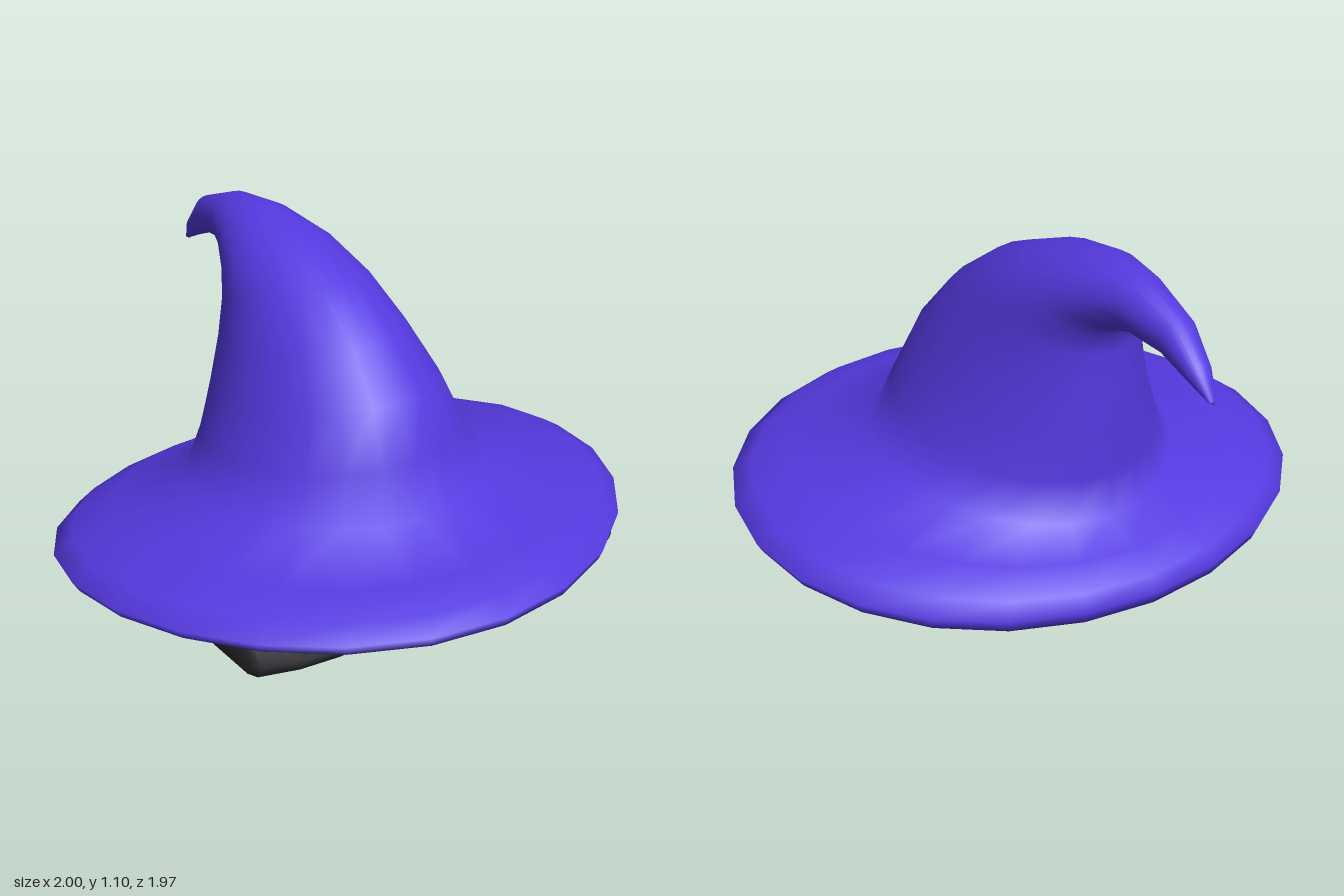
import * as THREE from 'three';

// Smooth closed skin through a list of rings, with a fan cap at each end
function loft(rings, startCap, endCap) {
  const n = rings[0].length, pos = [], idx = [];
  rings.forEach(r => r.forEach(p => pos.push(...p)));
  const s = rings.length * n, e = s + 1;
  pos.push(...startCap, ...endCap);
  for (let j = 0; j < n; j++) {
    const k = (j + 1) % n;
    idx.push(s, k, j);
    for (let i = 0; i < rings.length - 1; i++) {
      const a = i * n + j, b = i * n + k;
      idx.push(a, b, b + n, a, b + n, a + n);
    }
    const last = (rings.length - 1) * n;
    idx.push(last + j, last + k, e);
  }
  const g = new THREE.BufferGeometry();
  g.setAttribute('position', new THREE.Float32BufferAttribute(pos, 3));
  g.setIndex(idx);
  g.computeVertexNormals();
  return g;
}

// Oval ring from its front and back points, half width, side lift and backward skew
function oval([fz, fy, bz, by, w, lift = 0, skew = 0]) {
  return Array.from({ length: 24 }, (_, j) => {
    const t = j / 24 * Math.PI * 2, c = Math.cos(t), s = Math.sin(t);
    return [
      w * s,
      (fy + by) / 2 + (fy - by) / 2 * c + lift * s * s,
      (fz + bz) / 2 + (fz - bz) / 2 * c - skew * s * s,
    ];
  });
}

export function createModel() {
  const group = new THREE.Group();
  const purple = new THREE.MeshStandardMaterial({ color: 0x5539e0 });
  purple.name = 'purple felt';
  const black = new THREE.MeshStandardMaterial({ color: 0x2e2e32 });
  black.name = 'black';

  // Hat: underside, rolled rim, sloping brim, then the cone curling backwards
  const hatRings = [
    [0.86, 0.172, -0.66, 0.03, 0.88, 0.03, 0.07],
    [0.97, 0.172, -0.757, 0.0, 0.98, 0.04, 0.08],
    [0.98, 0.205, -0.775, 0.045, 1.0, 0.035, 0.08],
    [0.92, 0.245, -0.745, 0.095, 0.93, 0.035, 0.07],
    [0.8, 0.275, -0.66, 0.15, 0.78, 0.04, 0.05],
    [0.52, 0.33, -0.52, 0.2, 0.52, 0.045],
    [0.48, 0.51, -0.515, 0.35, 0.435],
    [0.4, 0.68, -0.515, 0.5, 0.365],
    [0.25, 0.84, -0.515, 0.65, 0.295],
    [0.05, 0.97, -0.51, 0.78, 0.24],
    [-0.2, 1.06, -0.52, 0.85, 0.195],
    [-0.44, 1.1, -0.57, 0.885, 0.14],
    [-0.64, 1.085, -0.65, 0.9, 0.095],
    [-0.84, 1.01, -0.79, 0.885, 0.065],
    [-0.94, 0.9, -0.9, 0.84, 0.043],
    [-0.99, 0.81, -0.975, 0.805, 0.015],
  ].map(oval);
  const hat = new THREE.Mesh(loft(hatRings, [0, 0.12, 0.08], [0, 0.797, -0.99]), purple);
  hat.name = 'hat';
  group.add(hat);

  // Eyes: rounded pads under the brim, lofted sideways from one profile of [z, y]
  const profile = [
    [0.72, 0.1], [0.69, 0.05], [0.42, 0.03], [0.18, 0.05],
    [0.1, 0.1], [0.16, 0.17], [0.42, 0.19], [0.65, 0.18],
  ];
  // Sections: x offset, depth scale, height scale
  const sections = [
    [-0.295, 0.78, 0.75], [-0.27, 0.84, 0.97], [-0.14, 0.96, 1], [0, 1, 1],
    [0.14, 0.96, 1], [0.27, 0.84, 0.97], [0.295, 0.78, 0.75],
  ];
  const eyeRings = sections.map(([x, sz, sy]) =>
    profile.map(([z, y]) => [x, 0.11 + (y - 0.11) * sy, 0.41 + (z - 0.41) * sz]));
  const eyeGeometry = loft(eyeRings, [-0.3, 0.11, 0.41], [0.3, 0.11, 0.41]);
  for (const side of [-1, 1]) {
    const eye = new THREE.Mesh(eyeGeometry, black);
    eye.name = side > 0 ? 'leftEye' : 'rightEye';
    eye.position.x = side * 0.418;
    group.add(eye);
  }
  return group;
}
